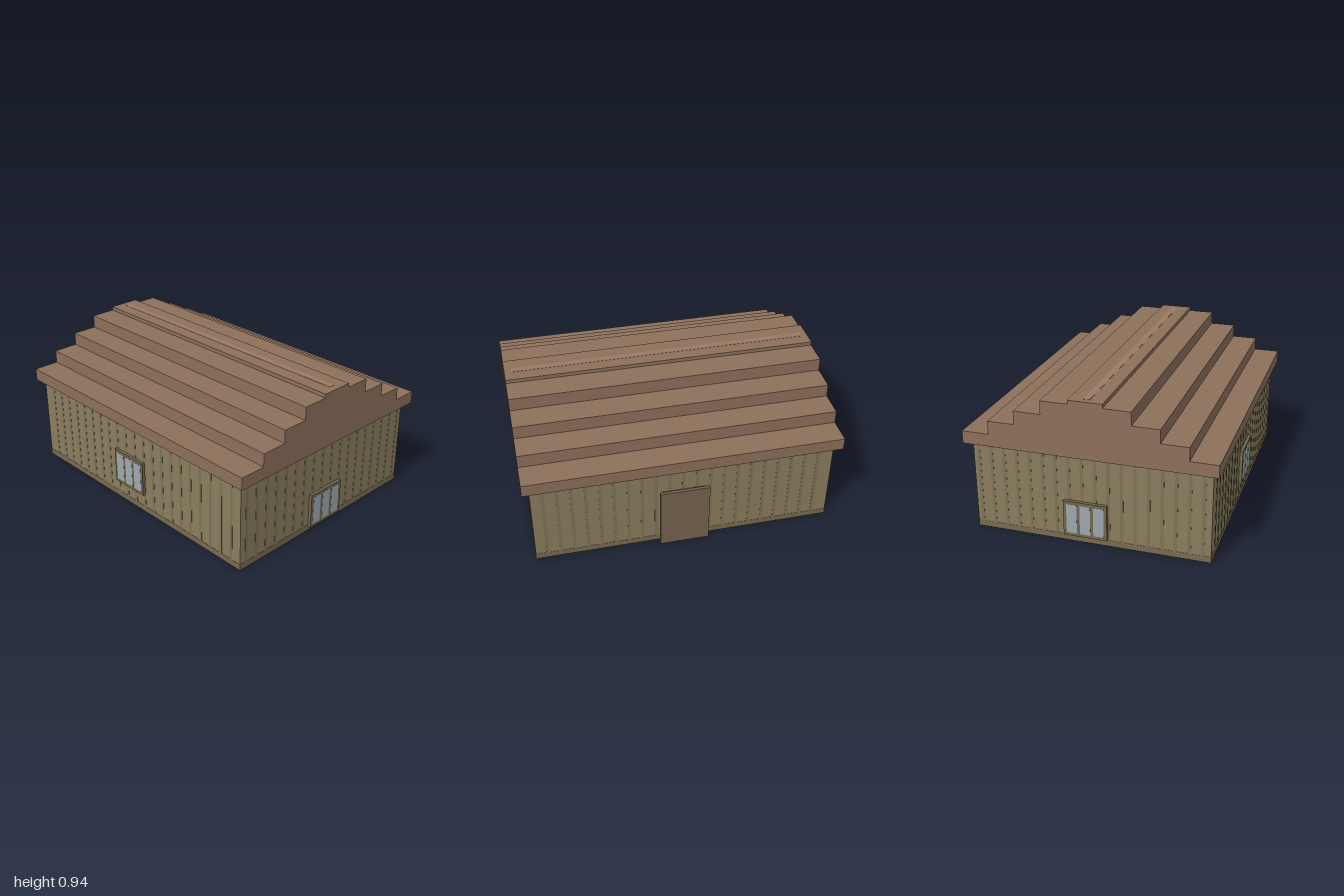
import * as THREE from 'three';

const mat = (color) => new THREE.MeshStandardMaterial({ color, flatShading: true });
const M = {
  wall: mat(0x8b7d5f), batten: mat(0x7d7455), skirt: mat(0x786b4e), roof: mat(0x8d705b),
  ridge: mat(0x9c7a64), frame: mat(0x73664c), glass: mat(0x9da8b0), door: mat(0x74644d),
};

// Box given by its minimum and maximum corners
function box(name, material, x0, x1, y0, y1, z0, z1) {
  const mesh = new THREE.Mesh(new THREE.BoxGeometry(x1 - x0, y1 - y0, z1 - z0), material);
  mesh.position.set((x0 + x1) / 2, (y0 + y1) / 2, (z0 + z1) / 2);
  mesh.name = name;
  return mesh;
}

// Framed window with three upright panes, facing +z, back at z = 0
function makeWindow(name, depth) {
  const g = new THREE.Group();
  g.name = name;
  g.add(box('windowFrame', M.frame, -0.138, 0.138, 0, 0.232, -0.01, depth));
  for (const i of [-1, 0, 1]) {
    const c = i * 0.085;
    g.add(box('windowPane', M.glass, c - 0.033, c + 0.033, 0.02, 0.213, 0, depth + 0.001));
  }
  return g;
}

export function createModel() {
  const house = new THREE.Group();
  house.name = 'house';
  const W = 0.955, H = 0.58, ZF = 0.745, ZB = -0.74, t = 0.0015;

  // Walls
  house.add(box('walls', M.wall, -W, W, 0, H, ZB, ZF));

  // Darker band round the foot of the walls
  house.add(box('skirtFront', M.skirt, -W, W, 0, 0.04, ZF, ZF + t));
  house.add(box('skirtBack', M.skirt, -W, W, 0, 0.04, ZB - t, ZB));
  for (const s of [-1, 1]) {
    const a = s * W, b = s * (W + t);
    house.add(box('skirtSide', M.skirt, Math.min(a, b), Math.max(a, b), 0, 0.04, ZB, ZF));
  }

  // Vertical battens on all four walls
  const battens = new THREE.Group();
  battens.name = 'battens';
  for (let i = 0; i < 21; i++) {
    const x = -0.86 + i * 0.087;
    battens.add(box('battenFront', M.batten, x - 0.01, x + 0.01, 0.04, H, ZF, ZF + t));
    battens.add(box('battenBack', M.batten, x - 0.01, x + 0.01, 0.04, H, ZB - t, ZB));
  }
  for (let i = 0; i < 18; i++) {
    const z = 0.695 - i * 0.0825;
    battens.add(box('battenRight', M.batten, W, W + t, 0.04, H, z - 0.01, z + 0.01));
    battens.add(box('battenLeft', M.batten, -W - t, -W, 0.04, H, z - 0.01, z + 0.01));
  }
  house.add(battens);

  // Stepped roof: half widths and tops of the tiers, extruded along x
  const tiers = [[0.785, 0.66], [0.614, 0.745], [0.445, 0.83], [0.275, 0.915], [0.106, 0.94]];
  const right = [];
  let y = H;
  for (const [z, top] of tiers) {
    right.push(new THREE.Vector2(z, y), new THREE.Vector2(z, top));
    y = top;
  }
  const left = right.map((p) => new THREE.Vector2(-p.x, p.y)).reverse();
  const roofGeo = new THREE.ExtrudeGeometry(new THREE.Shape([...right, ...left]), { depth: 2, bevelEnabled: false });
  roofGeo.translate(0, 0, -1).rotateY(Math.PI / 2);
  const roof = new THREE.Mesh(roofGeo, M.roof);
  roof.name = 'roof';
  house.add(roof);

  // Flush ridge strip and small roof patch
  house.add(box('ridgeStrip', M.ridge, -0.96, 0.955, 0.93, 0.9415, -0.025, 0.017));
  house.add(box('roofPatch', M.batten, -0.81, -0.75, 0.65, 0.6615, 0.53, 0.59));

  // Windows on the front and both ends
  const front = makeWindow('frontWindow', 0.02);
  front.position.set(-0.033, 0.13, ZF);
  const plus = makeWindow('leftWindow', 0.02);
  plus.position.set(W, 0.025, 0.012);
  plus.rotation.y = Math.PI / 2;
  const minus = makeWindow('rightWindow', 0.022);
  minus.position.set(-W, 0.045, -0.025);
  minus.rotation.y = -Math.PI / 2;
  house.add(front, plus, minus);

  // Back door with a slab in front of its frame
  house.add(box('doorFrame', M.frame, -0.13, 0.145, 0, 0.405, -0.765, ZB));
  house.add(box('door', M.door, -0.15, 0.165, 0, 0.425, -0.785, -0.765));

  return house;
}
